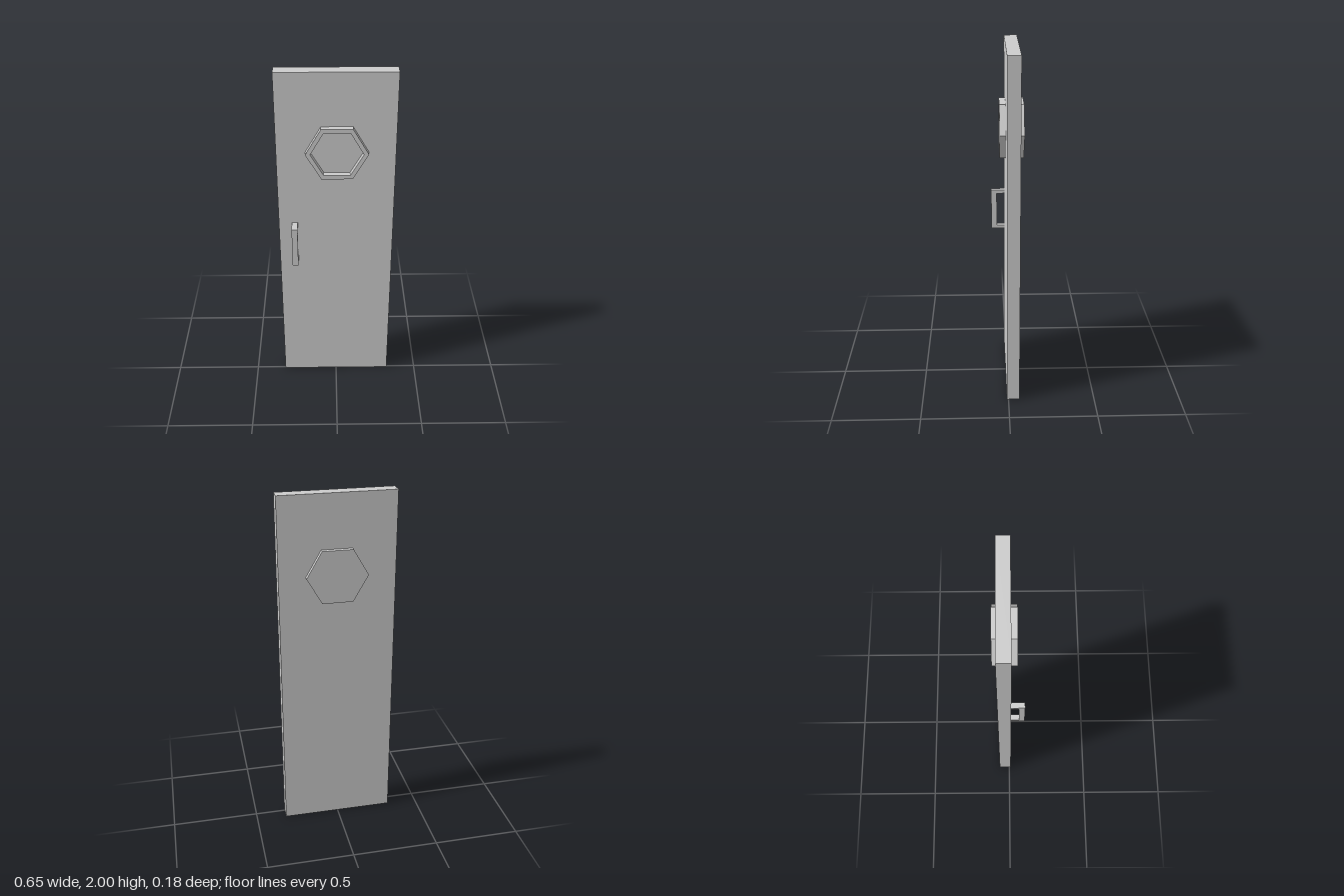
import * as THREE from 'three';

const material = new THREE.MeshStandardMaterial({ color: 0xcccccc, flatShading: true });

// Hexagon outline with points to the left and right
function hexPoints(radius) {
  return Array.from({ length: 6 }, (_, i) => {
    const a = (i * Math.PI) / 3;
    return new THREE.Vector2(radius * Math.cos(a), radius * Math.sin(a));
  });
}

export function createModel() {
  const group = new THREE.Group();

  function add(name, geometry, x, y, z) {
    const mesh = new THREE.Mesh(geometry, material);
    mesh.name = name;
    mesh.position.set(x, y, z);
    group.add(mesh);
    return mesh;
  }

  const doorFront = 0.009, doorBack = -0.064;

  // Door slab
  add('doorPanel', new THREE.BoxGeometry(0.647, 2, doorFront - doorBack), 0, 1, (doorFront + doorBack) / 2);

  // Hexagonal window: open frame on the front, closed plate on the back
  const frame = new THREE.Shape(hexPoints(0.171));
  frame.holes.push(new THREE.Path(hexPoints(0.144).reverse()));
  add('windowFrame', new THREE.ExtrudeGeometry(frame, { depth: 0.044 - doorFront, bevelEnabled: false }),
    0.005, 1.55, doorFront);

  const plate = new THREE.Shape(hexPoints(0.171));
  add('windowBackPlate', new THREE.ExtrudeGeometry(plate, { depth: doorBack + 0.09, bevelEnabled: false }),
    0.005, 1.55, -0.09);

  // Pull handle: side profile (z outward, y up) extruded across its width
  const out = 0.088, inner = 0.055, bottom = 0.861, top = 1.105, arm = 0.02;
  const profile = new THREE.Shape([
    [doorFront, bottom], [out, bottom], [out, top], [doorFront, top],
    [doorFront, top - arm], [inner, top - arm], [inner, bottom + arm], [doorFront, bottom + arm],
  ].map(([z, y]) => new THREE.Vector2(-z, y)));
  const handle = add('handle', new THREE.ExtrudeGeometry(profile, { depth: 0.033, bevelEnabled: false }),
    -0.25, 0, 0);
  handle.rotation.y = Math.PI / 2;

  return group;
}
